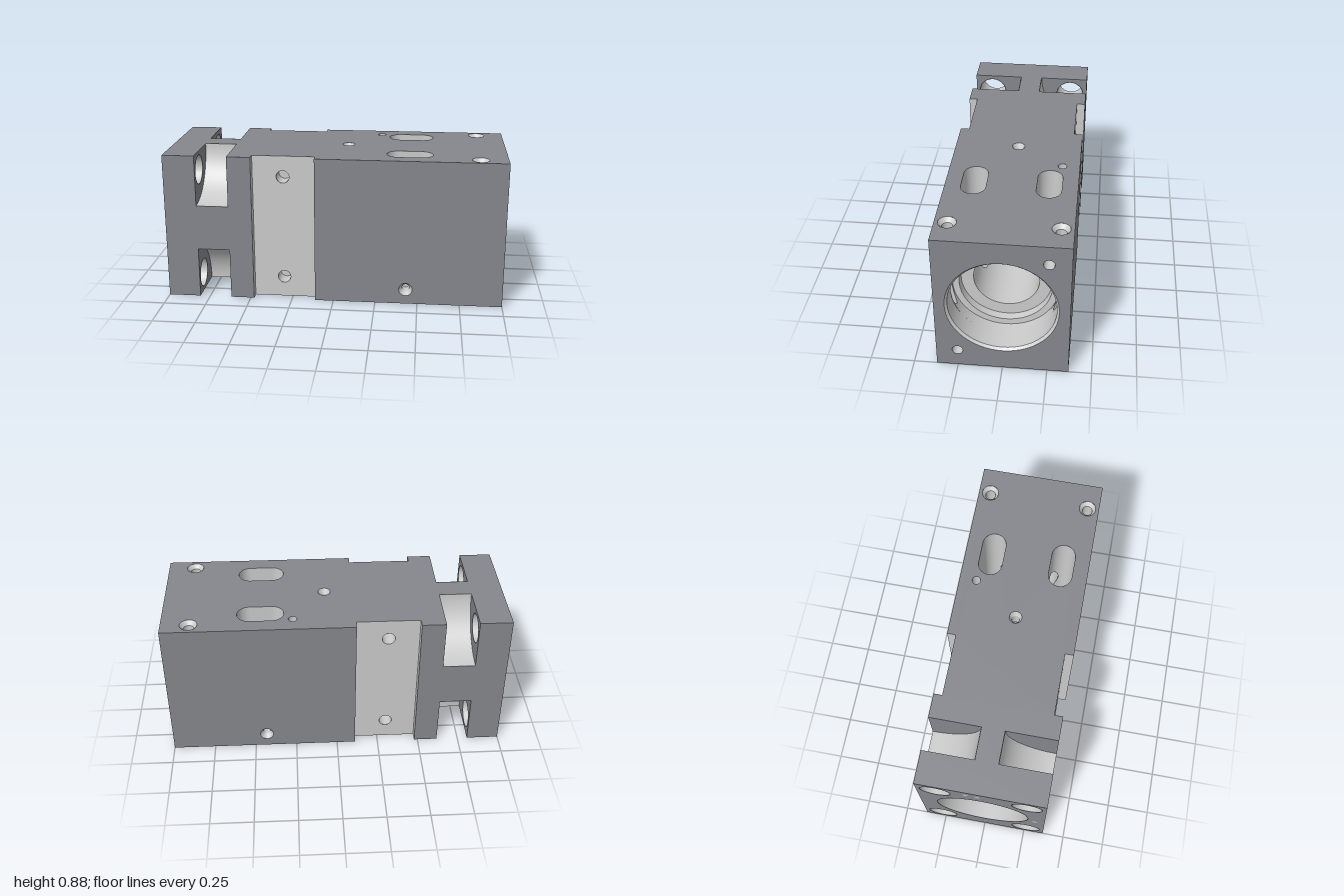
import * as THREE from 'three';

const H = 0.875, YC = H / 2, W = 0.37, GW = 0.32, CUT = 0.303, BORE = 0.268;
const dark = new THREE.MeshStandardMaterial({ color: 0x85878d, side: THREE.DoubleSide });
const light = new THREE.MeshStandardMaterial({ color: 0xcccccc, side: THREE.DoubleSide });

export function createModel() {
  const root = new THREE.Group();

  const add = (name, geo, mat) => {
    const m = new THREE.Mesh(geo, mat);
    m.name = name;
    root.add(m);
    return m;
  };
  const poly = (pts) => new THREE.Shape(pts.map(([a, b]) => new THREE.Vector2(a, b)));
  const rect = (x0, y0, x1, y1) => poly([[x0, y0], [x1, y0], [x1, y1], [x0, y1]]);
  const circle = (x, y, r) => new THREE.Path().absarc(x, y, r, 0, Math.PI * 2, true);
  const stadium = (x0, x1, z, r) => new THREE.Path()
    .absarc(x1, z, r, -Math.PI / 2, Math.PI / 2, false)
    .absarc(x0, z, r, Math.PI / 2, Math.PI * 1.5, false).closePath();

  // Cross-section swept along x (shape x is -z)
  const sweep = (name, shape, x0, x1) => {
    const g = new THREE.ExtrudeGeometry(shape, { depth: x1 - x0, bevelEnabled: false, curveSegments: 48 });
    add(name, g.rotateY(Math.PI / 2).translate(x0, 0, 0), dark);
  };
  // Flat outer panel with its holes
  const panel = (name, shape, holes, mat) => {
    shape.holes.push(...holes);
    return add(name, new THREE.ShapeGeometry(shape, 32), mat);
  };
  // Open tube or cone along an axis: radius r0 at d0, r1 at d1; optional floor at d0
  const tube = (name, axis, [a, b], d0, r0, d1, r1, floor = false) => {
    const parts = [new THREE.CylinderGeometry(r1, r0, d1 - d0, r0 > 0.1 ? 64 : 24, 1, true).translate(0, (d0 + d1) / 2, 0)];
    if (floor) parts.push(new THREE.CircleGeometry(r0, 24).rotateX(-Math.PI / 2).translate(0, d0, 0));
    for (const g of parts) {
      if (axis === 'x') g.rotateZ(-Math.PI / 2).translate(0, a, b);
      if (axis === 'y') g.translate(a, 0, b);
      if (axis === 'z') g.rotateX(Math.PI / 2).translate(a, b, 0);
      add(name, g, light);
    }
  };
  // Grid whose vertices follow a rule
  const sheet = (name, nu, nv, rule, mat) => {
    const g = new THREE.PlaneGeometry(1, 1, nu, nv), p = g.attributes.position, uv = g.attributes.uv;
    for (let i = 0; i < p.count; i++) p.setXYZ(i, ...rule(uv.getX(i), uv.getY(i)));
    g.computeVertexNormals();
    add(name, g, mat);
  };

  // End flange with bore and four bolt holes
  const bolts = [-0.26, 0.26].flatMap((z) => [0.11, H - 0.11].map((y) => [y, z]));
  const flange = rect(-W, 0, W, H);
  flange.holes.push(circle(0, YC, BORE + 0.002), ...bolts.map(([y, z]) => circle(z, y, 0.087)));
  sweep('flange', flange, -1, -0.81);
  for (const b of bolts) tube('boltHole', 'x', b, -1, 0.085, -0.81, 0.085);

  // Neck with four concave corner cuts
  const neck = new THREE.Shape();
  const P = Math.PI;
  neck.moveTo(W - CUT, 0);
  neck.absarc(W, 0, CUT, P, P / 2, true);
  neck.absarc(W, H, CUT, P * 1.5, P, true);
  neck.absarc(-W, H, CUT, 0, -P / 2, true);
  neck.absarc(-W, 0, CUT, P / 2, 0, true);
  neck.holes.push(circle(0, YC, BORE + 0.001));
  sweep('neck', neck, -0.81, -0.62);
  for (const sz of [-1, 1]) for (const top of [0, 1]) {
    sheet('cornerCut', 1, 24, (u, v) => {
      const a = v * P / 2, r = CUT - 0.002;
      const y = r * Math.sin(a);
      return [-0.81 + 0.19 * u, top ? H - y : y, sz * (W - r * Math.cos(a))];
    }, light);
  }

  // Collar between the neck and the side grooves
  const collar = rect(-W, 0, W, H);
  collar.holes.push(circle(0, YC, BORE + 0.002));
  sweep('collar', collar, -0.62, -0.48);

  // Vertical ports: slots and corner screw holes that break into the bore
  const ports = [];
  for (const s of [-1, 1]) {
    ports.push({ name: 'slot', x0: 0.37, x1: 0.5, z: 0.21 * s, r: 0.07, R: 0.185, inset: 0 });
    ports.push({ name: 'screwHole', x0: 0.84, x1: 0.84, z: 0.3 * s, r: 0.03, R: 0.297, inset: 0.025 });
  }
  for (const p of ports) {
    const pts = stadium(p.x0, p.x1, p.z, p.r).getSpacedPoints(64);
    for (const s of [-1, 1]) sheet(p.name + 'Wall', 64, 1, (u, v) => {
      const q = pts[Math.round(u * 64)];
      const h = v > 0.5 ? YC - p.inset : Math.sqrt(Math.max(0, p.R ** 2 - q.y ** 2));
      return [q.x, YC + s * h, q.y];
    }, light);
    if (p.inset) {
      tube('countersink', 'y', [p.x0, p.z], H - p.inset, p.r, H, 0.05);
      tube('countersink', 'y', [p.x0, p.z], 0, 0.04, p.inset, p.r);
    }
  }

  // Top and bottom panels with notched outline
  const outline = () => poly([[-0.48, -GW], [-0.11, -GW], [-0.11, -W], [1, -W], [1, W], [-0.11, W], [-0.11, GW], [-0.48, GW]]);
  const portHoles = (screwR) => ports.map((p) => stadium(p.x0, p.x1, -p.z, p.inset ? screwR : p.r));
  const topPanel = panel('topFace', outline(), [...portHoles(0.05), circle(0.25, 0.27, 0.025), circle(0.06, 0, 0.037)], dark);
  const bottomPanel = panel('bottomFace', outline(), [...portHoles(0.04), circle(0.25, 0.27, 0.025)], dark);
  topPanel.geometry.rotateX(-P / 2).translate(0, H, 0);
  bottomPanel.geometry.rotateX(-P / 2);
  tube('pinHole', 'y', [0.25, -0.27], 0, 0.025, H, 0.025);
  tube('centreHole', 'y', [0.06, 0], H - 0.03, 0.022, H, 0.037);
  tube('centreHole', 'y', [0.06, 0], H - 0.12, 0.022, H - 0.03, 0.022, true);

  // Side faces, side grooves and their holes
  for (const s of [-1, 1]) {
    const deep = (name, [x, y], z0, r0, z1, r1, floor) =>
      tube(name, 'z', [x, y], Math.min(s * z0, s * z1), s > 0 ? r0 : r1, Math.max(s * z0, s * z1), s > 0 ? r1 : r0, floor);
    panel('sideFace', rect(-0.11, 0, 1, H), [circle(0.43, 0.09, 0.04)], dark).position.z = s * W;
    deep('sideHole', [0.43, 0.09], W - 0.03, 0.022, W, 0.04);
    deep('sideHole', [0.43, 0.09], 0.28, 0.022, W - 0.03, 0.022);
    const holes = [[-0.3, 0.125], [-0.3, 0.75]];
    panel('sideGroove', rect(-0.48, 0, -0.11, H), holes.map(([x, y]) => circle(x, y, 0.038)), light).position.z = s * GW;
    for (const h of holes) {
      deep('grooveHole', h, GW - 0.1, 0.038, GW, 0.038);
      const floor = add('grooveHoleFloor', new THREE.CircleGeometry(0.038, 24), light);
      floor.position.set(h[0], h[1], s * (GW - 0.1));
    }
    for (const x of [-0.479, -0.11]) {
      const step = add('grooveStep', new THREE.PlaneGeometry(W - GW, H).rotateY(P / 2), light);
      step.position.set(x, YC, s * (W + GW) / 2);
    }
  }

  // Right end face with mouth of the bore and two tapped holes
  const tapped = [[0.76, -0.25], [0.11, 0.25]];
  panel('endFace', rect(-W, 0, W, H), [circle(0, YC, 0.31), ...tapped.map(([y, z]) => circle(-z, y, 0.03))], dark)
    .geometry.rotateY(P / 2).translate(1, 0, 0);
  for (const t of tapped) tube('tappedHole', 'x', t, 0.9, 0.027, 1, 0.03, true);

  // Stepped bore, from the left end to the right: [x0, r0, x1, r1]
  for (const [x0, r0, x1, r1] of [
    [-1, BORE, -0.4, BORE], [-0.4, BORE, -0.399, 0.185], [-0.399, 0.185, 0.3, 0.185],
    [0.57, 0.185, 0.75, 0.185], [0.75, 0.185, 0.751, 0.255], [0.751, 0.255, 0.795, 0.26],
    [0.795, 0.26, 0.796, 0.297], [0.796, 0.297, 0.81, 0.297], [0.87, 0.297, 0.985, 0.297], [0.985, 0.297, 1, 0.31],
  ]) tube('bore', 'x', [YC, 0], x0, r0, x1, r1);

  // Bore walls where the ports open into it, left open around each port
  for (const p of ports.filter((q) => q.z > 0)) for (const s of [-1, 1]) {
    sheet('portedBore', 48, 32, (u, v) => {
      const x = p.x0 - p.r + u * (p.x1 - p.x0 + 2 * p.r);
      const dx = Math.max(0, p.x0 - x, x - p.x1);
      const edge = p.z - Math.sqrt(Math.max(0, p.r ** 2 - dx ** 2));
      const a = (2 * v - 1) * Math.asin(Math.min(1, edge / p.R));
      return [x, YC + s * p.R * Math.cos(a), p.R * Math.sin(a)];
    }, light);
  }

  // Small locating holes on the flange face
  for (const [y, z] of [[0.815, -0.085], [0.815, -0.02], [0.37, 0.31]]) {
    const dot = add('locatingHole', new THREE.CircleGeometry(0.016, 16).rotateY(-P / 2), light);
    dot.position.set(-1.001, y, z);
  }
  return root;
}
